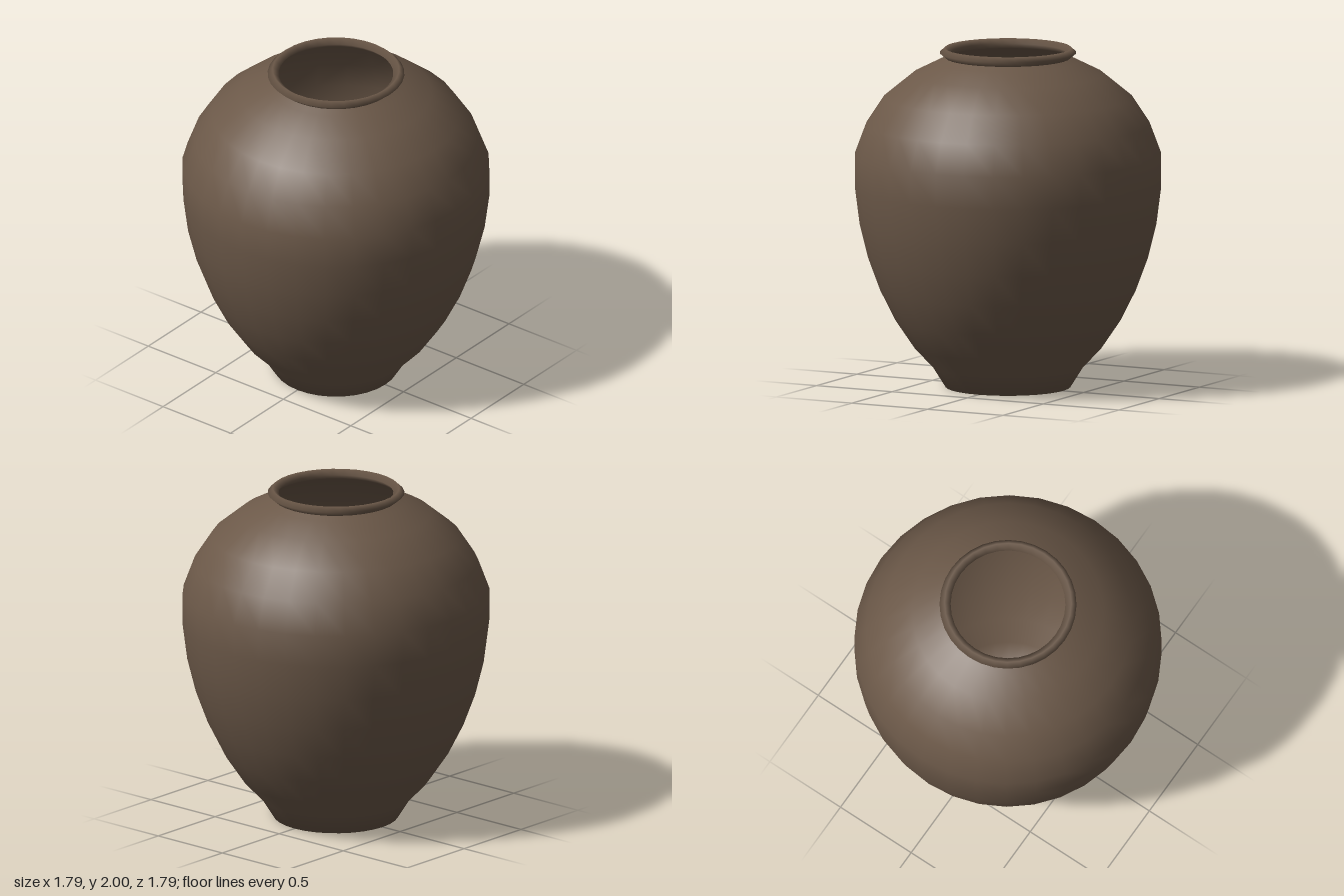
import * as THREE from 'three';

const SIDES = 32;

// Revolve a list of [radius, height] pairs, listed from bottom to top
function turned(name, profile, material) {
  const points = profile.map(([r, y]) => new THREE.Vector2(r, y));
  const mesh = new THREE.Mesh(new THREE.LatheGeometry(points, SIDES), material);
  mesh.name = name;
  return mesh;
}

export function createModel() {
  const clay = new THREE.MeshStandardMaterial({ color: 0x6b5848, side: THREE.DoubleSide });
  clay.name = 'brown clay';

  const jar = new THREE.Group();
  jar.name = 'jar';

  // Hollow body with a closed flat foot and a broad shoulder
  jar.add(turned('body', [
    [0, 0], [0.365, 0], [0.44, 0.12], [0.545, 0.23], [0.66, 0.4], [0.75, 0.58],
    [0.82, 0.77], [0.87, 0.97], [0.897, 1.18], [0.897, 1.37], [0.83, 1.55],
    [0.725, 1.71], [0.56, 1.845], [0.41, 1.92], [0.365, 1.942],
  ], clay));

  // Diamond-section lip around the mouth
  jar.add(turned('lip', [
    [0.365, 1.942], [0.4, 1.972], [0.37, 2], [0.335, 1.972], [0.365, 1.942],
  ], clay));

  return jar;
}
